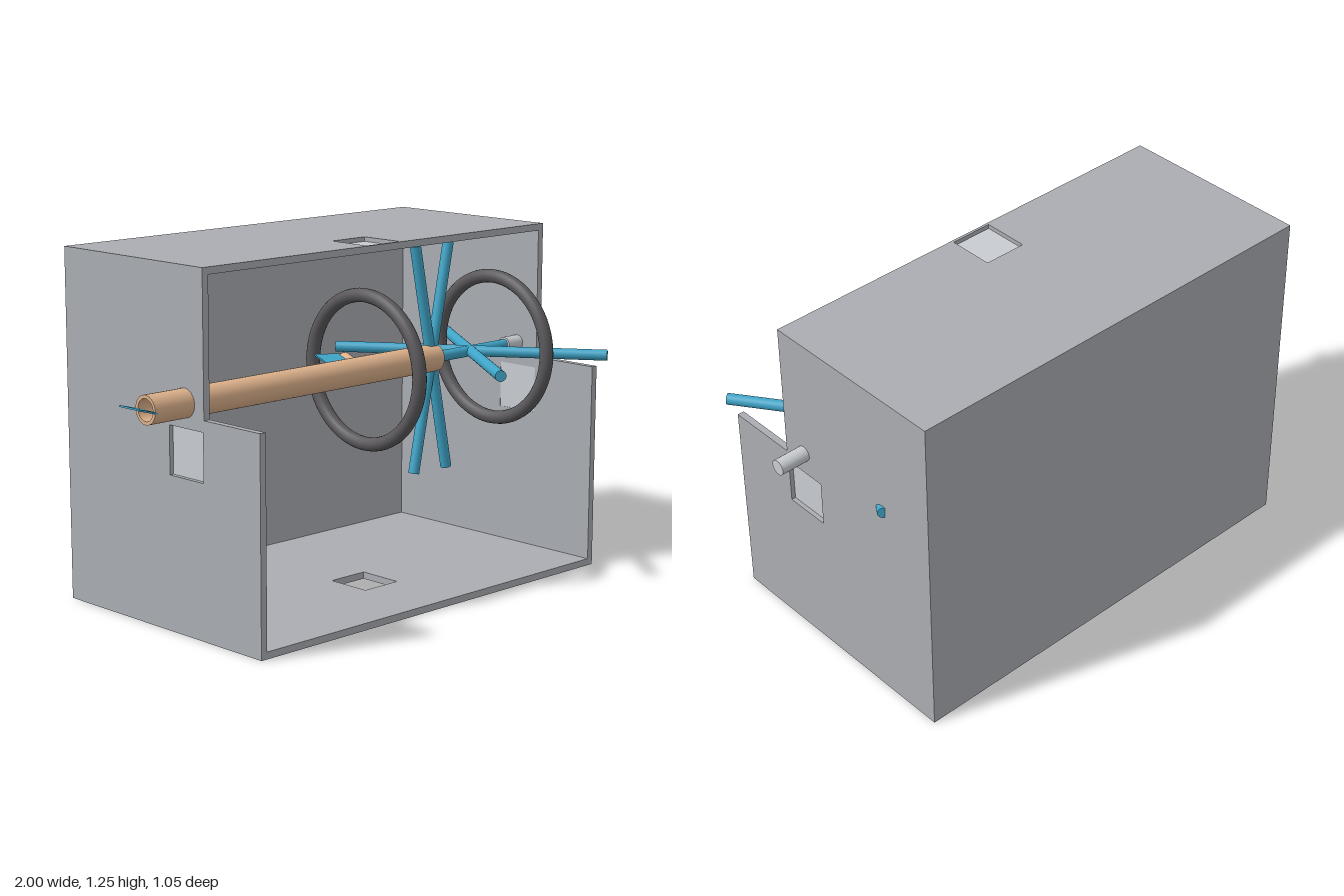
import * as THREE from 'three';

const X0 = -0.77, X1 = 0.89, H = 1.25, T = 0.025;      // case extents and wall thickness
const BACK = -0.53, TOP_FRONT = 0.19, FRONT = 0.46, STEP = 0.75;
const AY = 0.795, AZ = 0.095;                          // shaft axis

const mat = (name, color, side = THREE.FrontSide) => {
  const m = new THREE.MeshStandardMaterial({ color, side });
  m.name = name;
  return m;
};

// flat sheet with one rectangular hole, extruded by the wall thickness
function sheet(points, [a, b, c, d]) {
  const s = new THREE.Shape(points.map(p => new THREE.Vector2(...p)));
  s.holes.push(new THREE.Path([[a, b], [a, d], [c, d], [c, b]].map(p => new THREE.Vector2(...p))));
  return new THREE.ExtrudeGeometry(s, { depth: T, bevelEnabled: false });
}

export function createModel() {
  const g = new THREE.Group();
  g.name = 'shaftCase';
  const grey = mat('case grey', 0xaaadb2);
  const pale = mat('pale grey', 0xc8ccd1);
  const tan = mat('tan', 0xdeb28c, THREE.DoubleSide);
  const blue = mat('blue', 0x3fa5c8);
  const dark = mat('dark rubber', 0x5a585b);

  const add = (name, geo, m, x = 0, y = 0, z = 0) => {
    const mesh = new THREE.Mesh(geo, m);
    mesh.name = name;
    mesh.position.set(x, y, z);
    g.add(mesh);
    return mesh;
  };
  const rod = (name, a, b, r, m) => {
    const p = new THREE.Vector3(...a), q = new THREE.Vector3(...b), d = q.clone().sub(p);
    const mesh = add(name, new THREE.CylinderGeometry(r, r, d.length(), 24), m);
    mesh.position.copy(p).add(q).multiplyScalar(0.5);
    mesh.quaternion.setFromUnitVectors(new THREE.Vector3(0, 1, 0), d.normalize());
    return mesh;
  };

  // stepped side walls with recessed panes
  const profile = [[BACK, 0], [FRONT, 0], [FRONT, STEP], [TOP_FRONT, STEP], [TOP_FRONT, H], [BACK, H]];
  for (const [side, outer, pane] of [['left', X1, X1 - 0.02], ['right', X0 + T, X0 + 0.02]]) {
    add(side + 'Wall', sheet(profile, [0.015, 0.54, 0.185, 0.71]).rotateY(-Math.PI / 2), grey, outer);
    add(side + 'Pane', new THREE.BoxGeometry(0.008, 0.17, 0.17), pale, pane, 0.625, 0.1);
  }

  // floor with an open hole, roof with a pane, and the back wall
  const slab = front => sheet(
    [[X0 + T, -front], [X1 - T, -front], [X1 - T, -BACK], [X0 + T, -BACK]],
    [-0.02, -0.18, 0.14, -0.01]).rotateX(-Math.PI / 2);
  add('floor', slab(FRONT), grey);
  add('roof', slab(TOP_FRONT), grey, 0, H - T);
  add('roofPane', new THREE.BoxGeometry(0.16, 0.008, 0.17), pale, 0.06, H - 0.02, AZ);
  add('backWall', new THREE.BoxGeometry(X1 - X0 - 2 * T, H - 2 * T, T), grey,
    (X0 + X1) / 2, H / 2, BACK + T / 2);

  // hollow tube along the axis
  const tube = new THREE.LatheGeometry(
    [[0.038, -0.935], [0.05, -0.935], [0.05, -0.935], [0.05, 0.415], [0.05, 0.415], [0.038, 0.415],
      [0.038, 0.415], [0.038, -0.935]].map(p => new THREE.Vector2(...p)), 32);
  add('longTube', tube.rotateZ(-Math.PI / 2), tan, 0, AY, AZ);
  add('endBlade', new THREE.BoxGeometry(0.08, 0.006, 0.1), blue, -0.963, 0.8, AZ).rotation.z = -0.28;

  // small outlet behind the tube with its blade
  rod('outlet', [0.06, AY, 0.05], [0.1, 0.81, -0.05], 0.025, tan);
  add('outletBlade', new THREE.BoxGeometry(0.1, 0.006, 0.13), blue, 0.03, 0.82, -0.03).rotation.set(0.1, -0.4, 0);

  // driving shaft and its stub outside the case
  rod('innerShaft', [0.4, AY, AZ], [0.8, AY, AZ], 0.02, blue);
  rod('shaftStub', [0.79, AY, AZ], [1, AY, AZ], 0.028, pale);

  // crossed spokes, one pair upright and one pair level
  for (const s of [-1, 1]) {
    rod('uprightSpoke', [0.395 - 0.085 * s, AY - 0.415, AZ], [0.395 + 0.085 * s, AY + 0.415, AZ], 0.02, blue);
    rod('levelSpoke', [0.605 - 0.29 * s, AY, AZ - 0.41], [0.605 + 0.29 * s, AY, AZ + 0.41], 0.02, blue);
  }

  // rings around the axis
  for (const x of [0.06, 0.725]) {
    add('ring', new THREE.TorusGeometry(0.265, 0.025, 16, 64).rotateY(Math.PI / 2), dark, x, AY, AZ);
  }
  return g;
}
